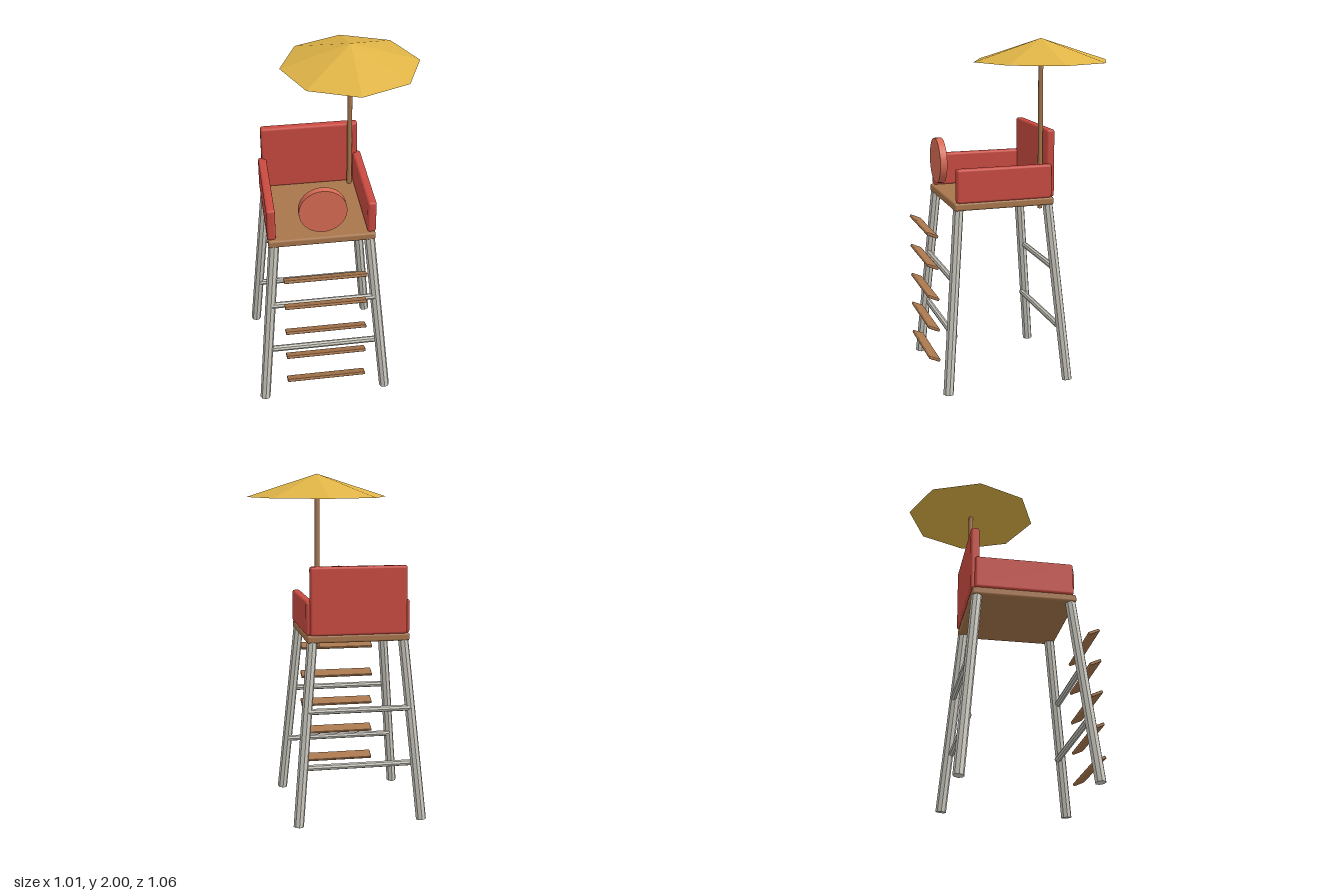
import * as THREE from 'three';
import { RoundedBoxGeometry } from 'three/addons/geometries/RoundedBoxGeometry.js';

const paint = (name, color, flatShading = false) => {
  const m = new THREE.MeshStandardMaterial({ color, flatShading });
  m.name = name;
  return m;
};

export function createModel() {
  const wood = paint('wood', 0xa8764c);
  const grey = paint('greyPaint', 0xcac8be, true);
  const red = paint('redPaint', 0xc94a40);
  const coral = paint('coralPaint', 0xd96c55);
  const yellow = paint('yellowCanvas', 0xe0b447, true);

  const group = new THREE.Group();
  const add = (name, geometry, material, x, y, z) => {
    const mesh = new THREE.Mesh(geometry, material);
    mesh.name = name;
    mesh.position.set(x, y, z);
    group.add(mesh);
    return mesh;
  };
  const box = (name, w, h, d, r, material, x, y, z) =>
    add(name, new RoundedBoxGeometry(w, h, d, 2, r), material, x, y, z);
  // Round bar between two points
  const bar = (name, a, b, radius, material) => {
    const dir = b.clone().sub(a);
    const mid = a.clone().add(b).multiplyScalar(0.5);
    const mesh = add(name, new THREE.CylinderGeometry(radius, radius, dir.length(), 8), material, mid.x, mid.y, mid.z);
    mesh.quaternion.setFromUnitVectors(new THREE.Vector3(0, 1, 0), dir.normalize());
    return mesh;
  };

  // Centre of the tower
  const cx = -0.117, cz = 0.093;

  // Splayed legs
  for (const sx of [-1, 1]) {
    for (const sz of [-1, 1]) {
      bar(`${sz > 0 ? 'front' : 'back'}${sx > 0 ? 'Left' : 'Right'}Leg`,
        new THREE.Vector3(cx + sx * 0.363, 0.004, cz + sz * 0.363),
        new THREE.Vector3(cx + sx * 0.265, 1.07, cz + sz * 0.265), 0.03, grey);
    }
  }

  // Cross bars on the front and back
  for (const sz of [-1, 1]) {
    for (const [y, half] of [[0.337, 0.33], [0.668, 0.305]]) {
      bar(sz > 0 ? 'frontCrossBar' : 'backCrossBar',
        new THREE.Vector3(cx - half, y, cz + sz * 0.313),
        new THREE.Vector3(cx + half, y, cz + sz * 0.313), 0.018, grey);
    }
  }

  // Tilted ladder steps
  for (let i = 0; i < 5; i++) {
    box('step', 0.46, 0.017, 0.07, 0.005, wood, cx, 0.173 + i * 0.1855, 0.5).rotation.x = -0.42;
  }

  // Platform with side panels and backrest
  box('platform', 0.596, 0.045, 0.59, 0.012, wood, cx, 1.081, cz);
  for (const sx of [-1, 1]) {
    box(sx > 0 ? 'leftArmPanel' : 'rightArmPanel', 0.048, 0.194, 0.56, 0.014, red, cx + sx * 0.277, 1.198, cz);
  }
  box('backrest', 0.56, 0.39, 0.05, 0.014, red, cx, 1.296, -0.185);

  // Round float in front of the seat
  add('roundFloat', new THREE.CylinderGeometry(0.131, 0.131, 0.04, 32), coral, cx, 1.3, 0.403).rotation.x = Math.PI / 2;

  // Parasol
  const px = 0.113, pz = -0.139;
  add('parasolPole', new THREE.CylinderGeometry(0.014, 0.014, 0.88, 12), wood, px, 1.47, pz);
  add('parasolCanopy', new THREE.ConeGeometry(0.391, 0.125, 8), yellow, px, 1.9375, pz);

  return group;
}
